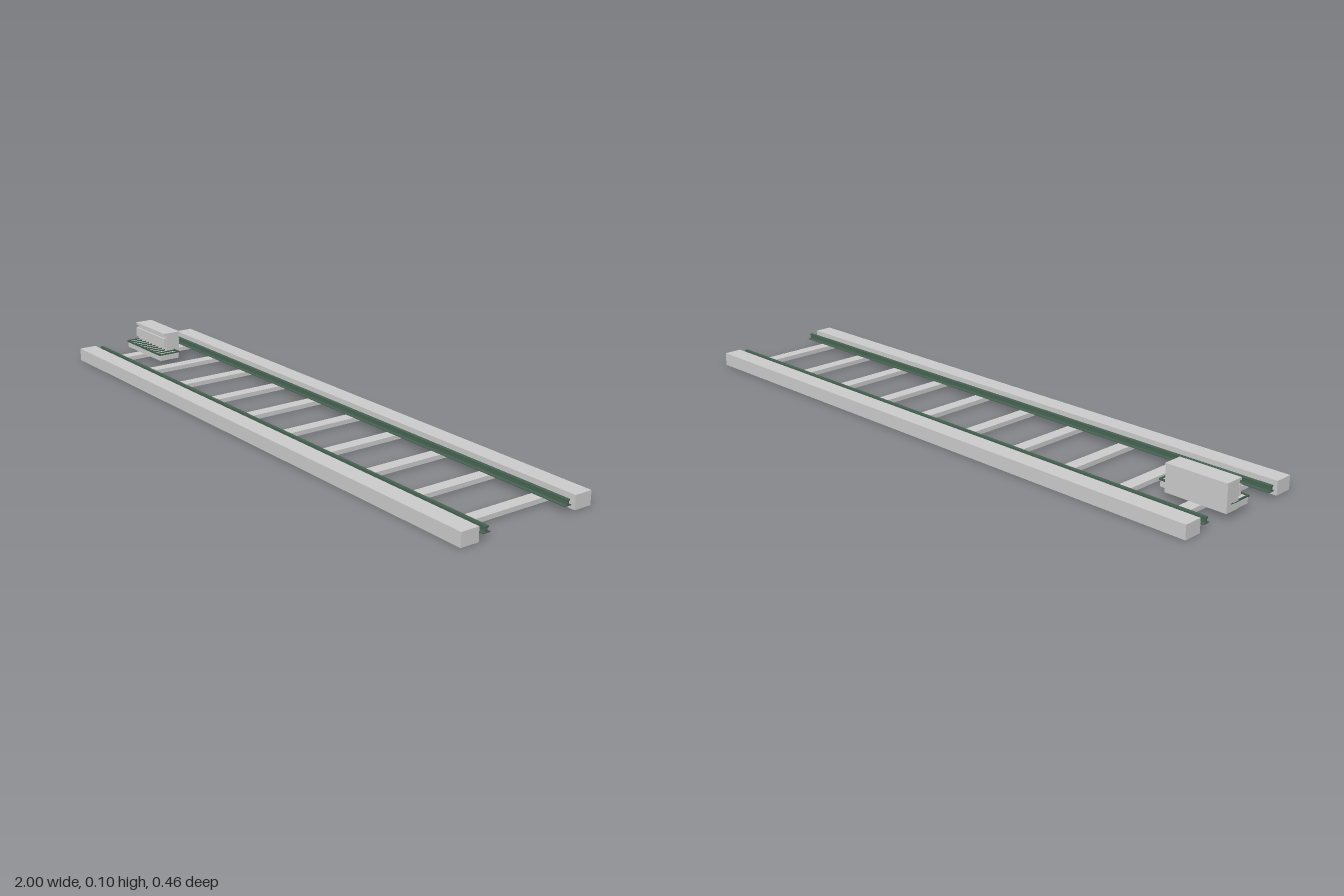
import * as THREE from 'three';

export function createModel() {
  const model = new THREE.Group();
  model.name = 'railwayTrack';
  const concrete = new THREE.MeshStandardMaterial({ name: 'light grey', color: 0xc9c9c9 });
  const steel = new THREE.MeshStandardMaterial({ name: 'dark green', color: 0x44604f });

  // Box given by its minimum and maximum on each axis
  function box(name, mat, [x0, x1], [y0, y1], [z0, z1], parent = model) {
    const mesh = new THREE.Mesh(new THREE.BoxGeometry(x1 - x0, y1 - y0, z1 - z0), mat);
    mesh.position.set((x0 + x1) / 2, (y0 + y1) / 2, (z0 + z1) / 2);
    mesh.name = name;
    parent.add(mesh);
    return mesh;
  }

  // I-shaped rail section, extruded along the track
  const half = [[0.012, 0.018], [0.012, 0.020], [0.003, 0.022], [0.002, 0.031], [0.006, 0.033], [0.006, 0.037]];
  const outline = [...half, ...half.map(([z, y]) => [-z, y]).reverse()];
  const section = new THREE.Shape(outline.map(([z, y]) => new THREE.Vector2(z, y)));
  const railGeometry = new THREE.ExtrudeGeometry(section, { depth: 2, bevelEnabled: false });
  railGeometry.rotateY(Math.PI / 2).translate(-1, 0, 0);

  // Rails and side kerbs
  for (const side of [-1, 1]) {
    const rail = new THREE.Mesh(railGeometry, steel);
    rail.name = side > 0 ? 'frontRail' : 'backRail';
    rail.position.z = side * 0.145;
    model.add(rail);
    const z = side * 0.201;
    box(side > 0 ? 'frontKerb' : 'backKerb', concrete, [-1, 1], [0, 0.043], [z - 0.03, z + 0.03]);
  }

  // Sleepers
  for (let i = 0; i < 10; i++) {
    const x = -0.9 + i * 0.2;
    box('sleeper', concrete, [x - 0.02, x + 0.02], [0.004, 0.018], [-0.157, 0.157]);
  }

  // Machine cabinet with overhanging lid and front panel
  const cabinet = new THREE.Group();
  cabinet.name = 'cabinet';
  model.add(cabinet);
  box('cabinetBody', concrete, [-1, -0.8], [0.018, 0.097], [-0.06, -0.009], cabinet);
  box('cabinetLid', concrete, [-1, -0.8], [0.097, 0.104], [-0.063, 0], cabinet);
  box('panelMount', steel, [-0.99, -0.81], [0.06, 0.08], [-0.009, -0.006], cabinet);
  box('frontPanel', concrete, [-1, -0.8], [0.053, 0.085], [-0.007, 0], cabinet);

  // Low plinth with a barred frame on top
  const plinth = new THREE.Group();
  plinth.name = 'plinth';
  model.add(plinth);
  box('plinthBody', concrete, [-0.998, -0.767], [0.018, 0.039], [-0.037, 0.037], plinth);
  for (const z of [-0.038, 0.038]) {
    box('frameRail', steel, [-1, -0.765], [0.037, 0.043], [z - 0.002, z + 0.002], plinth);
  }
  for (let i = 0; i <= 10; i++) {
    const x = -0.998 + i * 0.0231;
    box('frameBar', steel, [x - 0.002, x + 0.002], [0.038, 0.043], [-0.038, 0.038], plinth);
  }

  return model;
}
